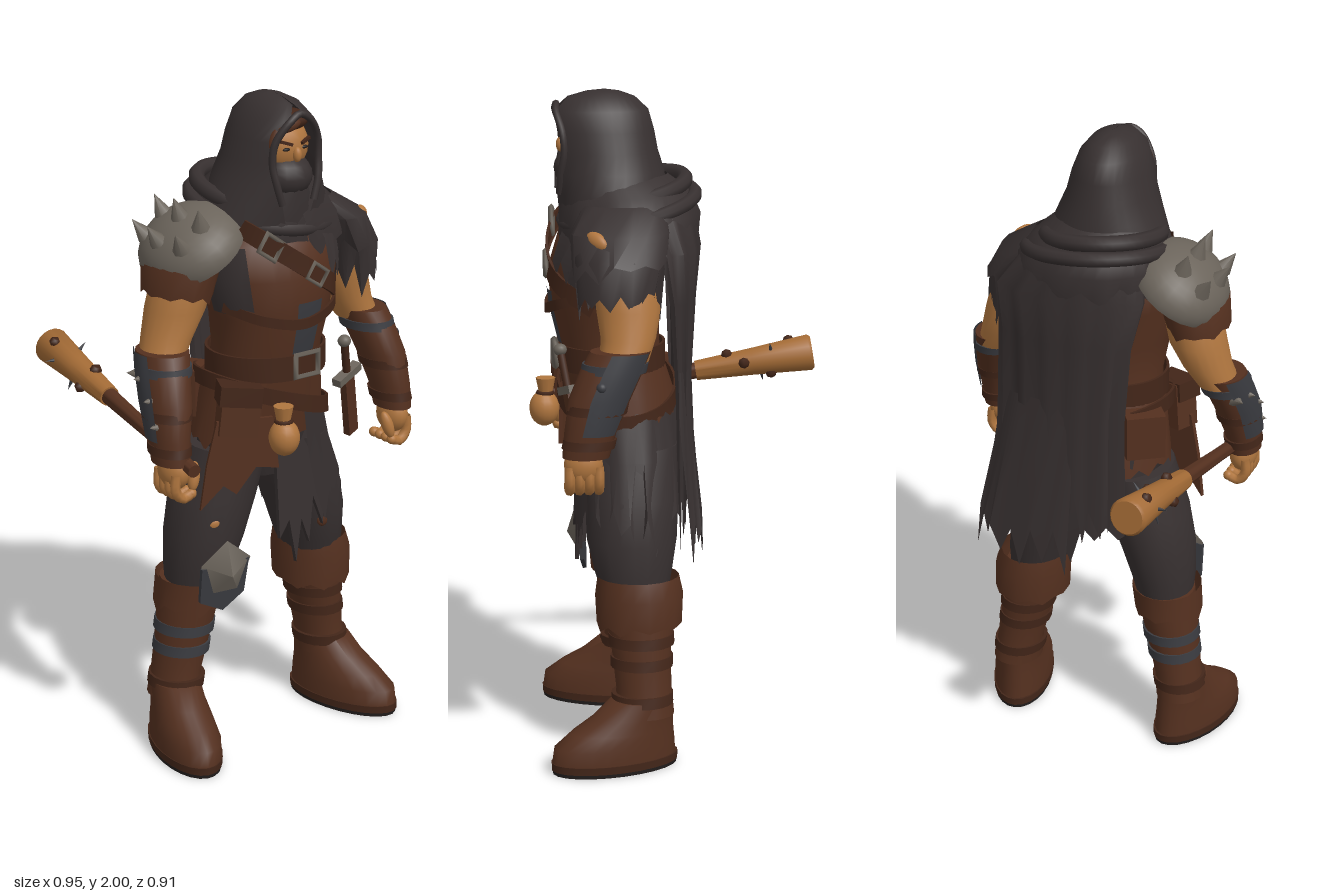
import * as THREE from 'three';
import { toCreasedNormals } from 'three/addons/utils/BufferGeometryUtils.js';

const PI = Math.PI, TAU = PI * 2;

export function createModel() {
  const root = new THREE.Group();
  root.name = 'hoodedBrigand';
  let seed = 7;
  const rnd = () => (seed = (seed * 16807) % 2147483647) / 2147483647;
  const material = (name, color) => {
    const m = new THREE.MeshStandardMaterial({ color, side: THREE.DoubleSide });
    m.name = name;
    return m;
  };
  const cloth = material('darkCloth', 0x373030), leather = material('brownLeather', 0x54301f),
    strap = material('darkLeather', 0x432619), skin = material('skin', 0xb0763f),
    metal = material('dullMetal', 0x6b645b), steel = material('darkSteel', 0x3a3b40),
    wood = material('wood', 0xa26a35), sole = material('sole', 0x241f1e);

  const add = (name, geo, mat, pos = [0, 0, 0], rot = [0, 0, 0], scale = [1, 1, 1], parent = root) => {
    const m = new THREE.Mesh(geo, mat);
    m.name = name;
    m.position.set(...pos); m.rotation.set(...rot); m.scale.set(...scale);
    parent.add(m);
    return m;
  };
  const ball = (name, mat, pos, scale, rot, parent) =>
    add(name, new THREE.SphereGeometry(1, 18, 12), mat, pos, rot, scale, parent);
  const box = (name, mat, pos, size, rot, parent) => add(name, new THREE.BoxGeometry(...size), mat, pos, rot, [1, 1, 1], parent);

  // Stacked elliptical rings [y, cx, cz, rx, rz, frontGap], bottom to top; jag tears the lower edge.
  function loft(name, mat, rings, { a0 = 0, a1 = TAU, n = 20, jag = 0, fold = 0, parent = root } = {}) {
    const pos = [], idx = [], w = n + 1;
    const closed = a1 - a0 > 6.28 && rings[0][5] === undefined;
    rings.forEach(([y, cx, cz, rx, rz, gap], i) => {
      for (let j = 0; j <= n; j++) {
        const s = gap ?? a0, e = gap === undefined ? a1 : TAU - gap;
        const a = s + (e - s) * j / n, f = 1 + fold * Math.sin(j * 1.9) * (1 - i / rings.length);
        const drop = i === 0 && jag ? jag * (j % 2 ? 0.25 + 0.75 * rnd() : 0.3 * rnd()) : 0;
        pos.push(cx + rx * f * Math.sin(a), y - drop, cz + rz * f * Math.cos(a));
      }
    });
    for (let i = 0; i < rings.length - 1; i++) for (let j = 0; j < n; j++) {
      const a = i * w + j, d = a + w;
      idx.push(a, a + 1, d + 1, a, d + 1, d);
    }
    if (closed && !jag) [0, rings.length - 1].forEach((r, k) => {
      const c = pos.length / 3;
      pos.push(rings[r][1], rings[r][0], rings[r][2]);
      for (let j = 0; j < n; j++) idx.push(c, r * w + j + (k ? 0 : 1), r * w + j + (k ? 1 : 0));
    });
    const g = new THREE.BufferGeometry();
    g.setAttribute('position', new THREE.Float32BufferAttribute(pos, 3));
    g.setIndex(idx);
    return add(name, toCreasedNormals(g, 0.9), mat, undefined, undefined, undefined, parent);
  }

  // Flat band following points around the body axis.
  function ribbon(name, mat, pts, width, closed = false) {
    const c = new THREE.CatmullRomCurve3(pts.map(p => new THREE.Vector3(...p)), closed);
    const pos = [], idx = [], N = 40;
    for (let i = 0; i <= N; i++) {
      const p = c.getPoint(i / N), t = c.getTangent(i / N);
      const out = new THREE.Vector3(p.x, 0, p.z - 0.2).normalize();
      const up = out.clone().cross(t).normalize().multiplyScalar(width / 2);
      const q = p.clone().addScaledVector(out, 0.008);
      for (const v of [p.clone().add(up), q.clone().add(up), q.clone().sub(up), p.clone().sub(up)]) pos.push(v.x, v.y, v.z);
      if (i < N) for (let k = 0; k < 3; k++) { const a = i * 4 + k; idx.push(a, a + 1, a + 5, a, a + 5, a + 4); }
    }
    const g = new THREE.BufferGeometry();
    g.setAttribute('position', new THREE.Float32BufferAttribute(pos, 3));
    g.setIndex(idx);
    add(name, toCreasedNormals(g, 0.6), mat);
  }
  const buckle = (pos, r, rot = 0) => add('buckle', new THREE.TorusGeometry(r, r * 0.22, 4, 4).rotateZ(PI / 4), metal, pos, [0, 0, rot], [1.15, 0.95, 1]);
  // Cone pointing along a direction.
  function spike(name, mat, pos, dir, r, h, parent = root) {
    const m = add(name, new THREE.ConeGeometry(r, h, 8).translate(0, h / 2, 0), mat, pos, undefined, undefined, parent);
    m.quaternion.setFromUnitVectors(new THREE.Vector3(0, 1, 0), new THREE.Vector3(...dir).normalize());
  }
  // Thin torn flap cut from an outline.
  function flap(name, mat, outline, pos, rot) {
    const s = new THREE.Shape(outline.map(p => new THREE.Vector2(...p)));
    add(name, new THREE.ExtrudeGeometry(s, { depth: 0.012, bevelEnabled: false }), mat, pos, rot);
  }

  // Head, mask and hood
  ball('head', skin, [0, 1.855, 0.262], [0.085, 0.09, 0.088]);
  ball('nose', skin, [0, 1.838, 0.35], [0.013, 0.022, 0.014]);
  ball('mask', cloth, [0, 1.768, 0.28], [0.086, 0.07, 0.092]);
  for (const s of [-1, 1]) {
    ball('eye', sole, [s * 0.032, 1.855, 0.342], [0.013, 0.005, 0.006]);
    box('brow', strap, [s * 0.034, 1.874, 0.344], [0.038, 0.008, 0.01], [0, s * 0.3, s * 0.3]);
  }
  ball('hair', strap, [0, 1.928, 0.285], [0.075, 0.033, 0.065]);
  ball('hairLock', leather, [-0.06, 1.9, 0.33], [0.018, 0.048, 0.018], [0, 0, -0.5]);
  ball('hairLock', leather, [-0.025, 1.922, 0.345], [0.04, 0.016, 0.014], [0, 0, 0.2]);
  const hood = [[1.64, 0, 0.19, 0.205, 0.165, 0.2], [1.7, 0, 0.2, 0.18, 0.165, 0.32], [1.76, 0, 0.208, 0.155, 0.165, 0.5],
    [1.82, 0, 0.22, 0.131, 0.158, 0.68], [1.88, 0, 0.228, 0.117, 0.155, 0.7], [1.94, 0, 0.232, 0.094, 0.142, 0.38],
    [1.978, 0, 0.23, 0.062, 0.1, 0.05], [1.994, 0, 0.225, 0.03, 0.05, 0.02], [2, 0, 0.22, 0.001, 0.001, 0]];
  loft('hood', cloth, hood, { n: 28 });
  const edge = s => hood.slice(1, 6).map(([y, cx, cz, rx, rz, g]) => new THREE.Vector3(cx + s * rx * Math.sin(g), y, cz + rz * Math.cos(g)));
  const rim = [...edge(-1), new THREE.Vector3(0, 1.958, 0.362), ...edge(1).reverse()];
  add('hoodRim', new THREE.TubeGeometry(new THREE.CatmullRomCurve3(rim), 48, 0.011, 8), cloth);
  loft('neckWrap', cloth, [[1.62, 0, 0.19, 0.16, 0.165], [1.68, 0, 0.2, 0.13, 0.16], [1.74, 0, 0.22, 0.09, 0.14]]);

  // Cowl with soft folds, low at the front and over the left shoulder
  loft('cowl', cloth, [[1.58, 0.04, 0.155, 0.24, 0.205], [1.64, 0.025, 0.15, 0.235, 0.21],
    [1.7, 0.01, 0.155, 0.19, 0.19], [1.75, 0, 0.185, 0.14, 0.15]], { n: 36, jag: 0.06, fold: 0.02 });
  for (const [y, rx, rz, cz, cx, r, tilt] of [[1.7, 0.17, 0.175, 0.157, 0, 0.024, 0.035], [1.655, 0.21, 0.195, 0.15, 0.02, 0.022, 0.04]]) {
    const pts = [];
    for (let k = 0; k < 14; k++) { const a = k / 14 * TAU; pts.push(new THREE.Vector3(cx + rx * Math.sin(a), y - tilt * Math.cos(a) - tilt * 0.5 * Math.sin(a), cz + rz * Math.cos(a))); }
    add('cowlFold', new THREE.TubeGeometry(new THREE.CatmullRomCurve3(pts, true), 48, r, 8, true), cloth);
  }

  // Torn cape hanging flat behind the back
  loft('cape', cloth, [[0.9, 0.08, 0.03, 0.22, 0.055], [1.15, 0.075, 0.035, 0.21, 0.06], [1.4, 0.065, 0.05, 0.22, 0.09],
    [1.55, 0.06, 0.08, 0.25, 0.135], [1.66, 0.03, 0.13, 0.2, 0.17]], { a0: PI * 0.5, a1: PI * 1.42, n: 22, jag: 0.24, fold: 0.08 });
  loft('capeTail', cloth, [[0.8, 0.16, 0.0, 0.19, 0.055], [1, 0.13, 0.02, 0.17, 0.05], [1.2, 0.1, 0.03, 0.175, 0.055]],
    { a0: PI * 0.5, a1: PI * 1.2, n: 11, jag: 0.25, fold: 0.06 });
  // Layered drape over the left shoulder
  loft('shoulderDrape', cloth, [[1.46, 0.3, 0.2, 0.085, 0.118], [1.54, 0.278, 0.195, 0.095, 0.132], [1.6, 0.235, 0.19, 0.098, 0.14],
    [1.67, 0.15, 0.17, 0.075, 0.12]], { n: 24, jag: 0.11, fold: 0.03 });
  loft('drapeLayer', cloth, [[1.54, 0.285, 0.195, 0.1, 0.138], [1.61, 0.235, 0.19, 0.102, 0.145], [1.68, 0.15, 0.17, 0.075, 0.12]],
    { n: 18, jag: 0.07, fold: 0.03 });
  ball('drapeHole', skin, [0.312, 1.598, 0.262], [0.04, 0.024, 0.018], [-0.35, 0.9, -0.15]);
  loft('chestDrape', cloth, [[1.51, 0, 0.217, 0.222, 0.183], [1.58, 0, 0.2, 0.223, 0.177], [1.65, 0, 0.175, 0.17, 0.165]],
    { a0: 0.45, a1: 1.6, n: 10, jag: 0.07 });

  // Torso and vest
  loft('torso', leather, [[0.98, 0, 0.17, 0.19, 0.15], [1.15, 0, 0.195, 0.175, 0.15], [1.25, 0, 0.21, 0.168, 0.15], [1.36, 0, 0.222, 0.185, 0.165],
    [1.48, 0, 0.215, 0.215, 0.175], [1.58, 0, 0.195, 0.215, 0.165], [1.66, 0, 0.17, 0.12, 0.1]], { n: 28 });
  loft('bellyCloth', steel, [[1.25, 0, 0.213, 0.172, 0.152], [1.36, 0, 0.225, 0.188, 0.166], [1.41, 0, 0.224, 0.197, 0.172]], { a0: -0.12, a1: 0.36, n: 6 });
  for (const s of [-1, 1]) loft('sideCloth', cloth, [[1.38, 0, 0.222, 0.195, 0.171], [1.48, 0, 0.217, 0.22, 0.178], [1.58, 0, 0.197, 0.22, 0.17]],
    { a0: s * 1.2 - 0.4, a1: s * 1.2 + 0.4, n: 6 });
  ribbon('chestStrap', strap, [[-0.16, 1.64, 0.3], [-0.1, 1.59, 0.36], [0.02, 1.505, 0.392], [0.12, 1.44, 0.363], [0.2, 1.38, 0.265]], 0.055);
  ribbon('ribStrap', strap, [[-0.19, 1.4, 0.26], [-0.12, 1.37, 0.365], [0, 1.35, 0.395], [0.12, 1.38, 0.365], [0.2, 1.42, 0.25]], 0.03);
  buckle([-0.11, 1.59, 0.375], 0.042, -0.6);
  buckle([0.04, 1.49, 0.4], 0.036, -0.6);

  // Belts
  const hoop = (y, rx, rz, cz, tilt) => Array.from({ length: 16 }, (_, k) => {
    const a = k / 16 * TAU;
    return [rx * Math.sin(a), y - tilt * Math.sin(a), cz + rz * Math.cos(a)];
  });
  ribbon('waistBelt', strap, hoop(1.21, 0.178, 0.157, 0.207, 0), 0.075, true);
  ribbon('slungBelt', strap, hoop(1.1, 0.205, 0.172, 0.188, 0.07), 0.05, true);
  buckle([0.025, 1.215, 0.375], 0.05);
  loft('hipLeather', leather, [[0.99, 0, 0.165, 0.215, 0.165], [1.1, 0, 0.18, 0.195, 0.162], [1.19, 0, 0.2, 0.178, 0.153]],
    { a0: 0.4, a1: TAU - 0.5, n: 30, jag: 0.05 });

  // Pouches, flaps and dagger
  box('pouch', leather, [-0.175, 1.1, 0.31], [0.115, 0.15, 0.08], [0, -0.45, -0.1]);
  box('pouchLid', strap, [-0.178, 1.15, 0.316], [0.125, 0.06, 0.085], [0, -0.45, -0.1]);
  box('backPouch', leather, [-0.17, 1.1, 0.07], [0.12, 0.14, 0.07], [0, 0.6, 0]);
  ball('hangingSack', skin, [-0.08, 1.02, 0.405], [0.046, 0.055, 0.046]);
  add('sackNeck', new THREE.CylinderGeometry(0.03, 0.018, 0.06, 10), skin, [-0.08, 1.085, 0.4]);
  add('sackTie', new THREE.TorusGeometry(0.022, 0.007, 6, 12), strap, [-0.08, 1.068, 0.402], [PI / 2, 0, 0]);
  flap('hipFlap', leather, [[-0.08, 0.13], [0.09, 0.13], [0.11, -0.03], [0.04, -0.02], [-0.02, -0.1], [-0.06, -0.07], [-0.13, -0.14], [-0.11, 0]], [-0.165, 0.94, 0.315], [0, -0.35, 0]);
  flap('frontTail', cloth, [[-0.06, 0.2], [0.13, 0.2], [0.13, -0.13], [0.09, -0.03], [0.07, -0.17], [0.04, -0.09], [0.015, -0.22], [-0.01, -0.08], [-0.05, -0.13]], [0.02, 0.79, 0.3], [-0.05, 0.1, 0]);
  const dagger = new THREE.Group();
  dagger.name = 'dagger';
  dagger.position.set(0.2, 1.14, 0.345); dagger.rotation.set(0.1, 0.3, 0.25);
  root.add(dagger);
  add('grip', new THREE.CylinderGeometry(0.012, 0.012, 0.1, 8), strap, [0, 0.06, 0], undefined, undefined, dagger);
  ball('pommel', metal, [0, 0.12, 0], [0.02, 0.018, 0.02], undefined, dagger);
  box('guard', metal, [0, 0, 0], [0.11, 0.024, 0.03], undefined, dagger);
  box('sheath', leather, [0, -0.11, 0], [0.045, 0.2, 0.022], undefined, dagger);

  // Trousers and torn skirt
  loft('seat', cloth, [[0.85, 0, 0.155, 0.13, 0.12], [0.93, 0, 0.16, 0.195, 0.145], [1.05, 0, 0.175, 0.19, 0.15]]);
  loft('tornSkirt', cloth, [[0.8, 0.045, 0.155, 0.26, 0.17], [0.92, 0.02, 0.16, 0.225, 0.168], [1.06, 0, 0.175, 0.2, 0.163]],
    { a0: 0.25, a1: PI * 1.35, n: 26, jag: 0.17, fold: 0.03 });
  ball('trouserTear', skin, [-0.222, 0.74, 0.272], [0.026, 0.016, 0.008], [0, -0.3, 0.2]);
  ball('trouserPatch', leather, [0.17, 0.665, 0.278], [0.022, 0.025, 0.01]);

  for (const s of [-1, 1]) {
    const side = s > 0 ? 'left' : 'right';
    // Leg and boot
    loft(side + 'TrouserLeg', cloth, [[0.5, s * 0.22, 0.15, 0.085, 0.095], [0.58, s * 0.21, 0.155, 0.1, 0.115], [0.68, s * 0.19, 0.158, 0.115, 0.135],
      [0.8, s * 0.155, 0.155, 0.13, 0.14], [0.95, s * 0.11, 0.16, 0.115, 0.145]]);
    loft(side + 'BootShaft', leather, [[0.16, s * 0.285, 0.13, 0.077, 0.09], [0.24, s * 0.275, 0.13, 0.073, 0.083], [0.34, s * 0.257, 0.135, 0.08, 0.088],
      [0.45, s * 0.238, 0.138, 0.088, 0.1], [0.53, s * 0.225, 0.14, 0.09, 0.105]]);
    const foot = new THREE.Group();
    foot.name = side + 'Foot';
    foot.position.set(s * 0.284, 0, 0.13); foot.rotation.y = s * 0.26;
    root.add(foot);
    loft('sole', sole, [[0, 0, 0.094, 0.092, 0.193], [0.012, 0, 0.094, 0.094, 0.196]], { parent: foot, n: 24 });
    loft('welt', strap, [[0.012, 0, 0.094, 0.095, 0.197], [0.035, 0, 0.094, 0.096, 0.198]], { parent: foot, n: 24 });
    loft('shoe', leather, [[0.035, 0, 0.096, 0.093, 0.193], [0.08, 0, 0.094, 0.092, 0.188], [0.12, 0, 0.07, 0.084, 0.16], [0.16, 0, 0.037, 0.077, 0.125],
      [0.21, 0, 0.008, 0.073, 0.094]], { parent: foot, n: 24 });
    for (const [y, cx, r] of [[0.21, 0.281, 0.083], [0.32, 0.261, 0.084], [0.385, 0.25, 0.089]])
      loft('bootStrap', y > 0.3 && s < 0 ? steel : strap, [[y - 0.016, s * cx, 0.135, r, r + 0.01], [y + 0.016, s * (cx - 0.005), 0.135, r, r + 0.01]]);

    // Arm, bracer and hand
    loft(side + 'UpperArm', skin, [[1.26, s * 0.362, 0.19, 0.064, 0.072], [1.32, s * 0.332, 0.175, 0.074, 0.08], [1.4, s * 0.3, 0.172, 0.087, 0.094],
      [1.5, s * 0.275, 0.178, 0.088, 0.095], [1.6, s * 0.24, 0.18, 0.06, 0.08]]);
    const bracer = [[0.99, 0.413, 0.305, 0.05, 0.068], [1.06, 0.41, 0.292, 0.055, 0.075], [1.16, 0.397, 0.262, 0.066, 0.09],
      [1.24, 0.38, 0.225, 0.07, 0.092], [1.29, 0.366, 0.2, 0.073, 0.088]];
    loft(side + 'Bracer', leather, bracer.map(([y, cx, ...r]) => [y, s * cx, ...r]));
    loft('bracerPlate', steel, bracer.slice(1).map(([y, cx, cz, rx, rz]) => [y, s * cx, cz, rx + 0.006, rz + 0.006]),
      { a0: s * 1.9 - 0.65, a1: s * 1.9 + 0.65, n: 8 });
    for (const [y, cx, cz, r] of [[1.03, 0.412, 0.298, 0.057], [1.13, 0.403, 0.272, 0.067], [1.245, 0.378, 0.222, 0.076]])
      loft('bracerBand', y > 1.2 ? steel : strap, [[y - 0.013, s * cx, cz, r, r + 0.02], [y + 0.013, s * (cx - 0.003), cz - 0.006, r, r + 0.02]]);
    ball(side + 'Palm', skin, [s * 0.408, 0.965, 0.312], [0.042, 0.058, 0.057]);
    for (let k = 0; k < 4; k++) {
      const z = 0.268 + k * 0.028;
      const c = new THREE.CatmullRomCurve3([[0.428, 0.965], [0.43, 0.915], [0.405, 0.888], [0.375, 0.898]].map(([x, y]) => new THREE.Vector3(s * x, y, z)));
      add('finger', new THREE.TubeGeometry(c, 8, 0.0155, 7), skin);
      ball('fingertip', skin, [s * 0.375, 0.898, z], [0.0155, 0.0155, 0.0155]);
    }
    ball('thumb', skin, [s * 0.362, 0.945, 0.345], [0.018, 0.044, 0.019], [-0.2, 0, s * 0.25]);
  }

  // Left boot cuff, right boot cuff and knee guard
  loft('leftBootCuff', leather, [[0.44, 0.235, 0.14, 0.118, 0.128], [0.52, 0.232, 0.14, 0.12, 0.132], [0.575, 0.225, 0.142, 0.108, 0.122]], { jag: 0.03, n: 18 });
  loft('rightBootCuff', leather, [[0.47, -0.235, 0.142, 0.106, 0.116], [0.545, -0.225, 0.145, 0.108, 0.12]], { n: 18, jag: 0.04 });
  flap('kneeLining', steel, [[-0.08, 0.03], [0.08, 0.04], [0.07, -0.07], [0, -0.12], [-0.08, -0.08]], [-0.212, 0.585, 0.285], [0.1, -0.1, 0]);
  const knee = new THREE.ConeGeometry(0.105, 0.045, 5).rotateX(PI / 2).rotateZ(PI);
  add('kneeGuard', knee, metal, [-0.21, 0.59, 0.312], [0.12, -0.1, 0], [0.85, 0.95, 1]);

  // Right shoulder armour
  const pauldron = new THREE.Group();
  pauldron.name = 'spikedPauldron';
  pauldron.position.set(-0.24, 1.565, 0.172); pauldron.rotation.z = 0.6;
  root.add(pauldron);
  add('plate', new THREE.SphereGeometry(1, 24, 10, 0, TAU, 0, PI * 0.52), metal, [0, 0, 0], undefined, [0.155, 0.115, 0.175], pauldron);
  for (const [u, v] of [[-0.42, -0.52], [-0.5, 0], [-0.42, 0.52], [0.12, -0.5], [0.12, 0.05], [0.12, 0.55]]) {
    const h = Math.sqrt(1 - u * u - v * v);
    spike('spike', metal, [u * 0.15, h * 0.11, v * 0.17], [u * 0.5 + 0.2, h + 0.15, v * 0.5], 0.028, 0.065, pauldron);
  }
  loft('shoulderLeather', leather, [[1.46, -0.3, 0.18, 0.092, 0.125], [1.53, -0.285, 0.178, 0.1, 0.14], [1.59, -0.25, 0.175, 0.1, 0.14]], { n: 20, jag: 0.03 });
  for (const [y, x, z] of [[1.22, -0.432, 0.21], [1.17, -0.44, 0.27], [1.1, -0.44, 0.3], [1.22, -0.42, 0.17]])
    spike('bracerSpike', metal, [x, y, z], [-1, 0.1, z < 0.18 ? -0.6 : 0], 0.022, 0.042);
  for (const y of [1.2, 1.13, 1.07]) ball('bracerStud', steel, [0.452, y, 0.26 + (1.2 - y) * 0.3], [0.016, 0.016, 0.016]);

  // Club held in the right hand
  const club = new THREE.Group();
  club.name = 'club';
  const from = new THREE.Vector3(-0.398, 0.985, 0.4), to = new THREE.Vector3(-0.327, 1.125, -0.455);
  club.position.copy(from);
  club.quaternion.setFromUnitVectors(new THREE.Vector3(0, 1, 0), to.sub(from).normalize());
  root.add(club);
  const round = (y, r) => [y, 0, 0, r, r];
  loft('handle', leather, [round(0, 0.02), round(0.25, 0.021), round(0.51, 0.026)], { parent: club });
  loft('clubHead', wood, [round(0.495, 0.031), round(0.68, 0.043), round(0.86, 0.057), round(0.869, 0.05)], { parent: club });
  for (const [y, a, r] of [[0.8, -0.6, 0.05], [0.65, 1.3, 0.041], [0.6, 0.1, 0.037], [0.73, 2.6, 0.045], [0.62, 4, 0.038]])
    add('rivet', new THREE.SphereGeometry(0.018, 6, 4), strap, [r * Math.sin(a), y, r * Math.cos(a)], undefined, undefined, club);
  for (const [y, a] of [[0.76, -PI / 2], [0.74, 0.6], [0.7, 3.4]])
    spike('nail', steel, [0.042 * Math.sin(a), y, 0.042 * Math.cos(a)], [Math.sin(a), 0, Math.cos(a)], 0.007, 0.035, club);

  return root;
}
